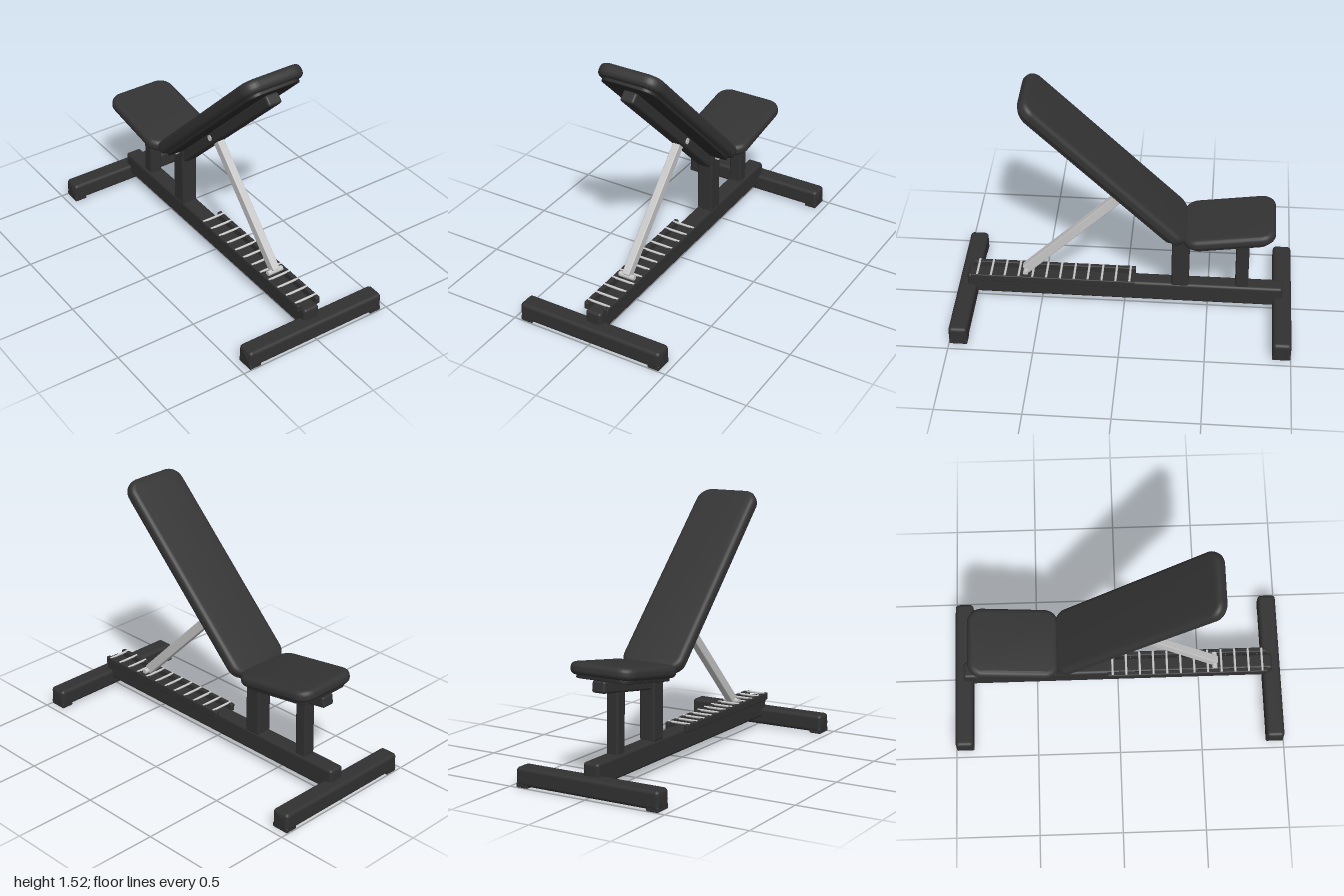
import * as THREE from 'three';
import { toCreasedNormals } from 'three/addons/utils/BufferGeometryUtils.js';
import { RoundedBoxGeometry } from 'three/addons/geometries/RoundedBoxGeometry.js';

export function createModel() {
  const material = (name, color) => {
    const m = new THREE.MeshStandardMaterial({ color });
    m.name = name;
    return m;
  };
  const frame = material('black frame', 0x313131);
  const vinyl = material('black vinyl', 0x333333);
  const board = material('backing board', 0x292929);
  const steel = material('bare steel', 0xc6c6c6);

  const bench = new THREE.Group();
  bench.name = 'adjustableBench';

  const add = (parent, name, geometry, mat, x, y, z) => {
    const mesh = new THREE.Mesh(geometry, mat);
    mesh.name = name;
    mesh.position.set(x, y, z);
    parent.add(mesh);
    return mesh;
  };
  // square tube with softened corners
  const tube = (parent, name, w, h, d, x, y, z, r = 0.014) =>
    add(parent, name, new RoundedBoxGeometry(w, h, d, 3, r), frame, x, y, z);
  // round bar lying across the bench
  const bar = (parent, name, r, length, mat, x, y, z) => {
    const mesh = add(parent, name, new THREE.CylinderGeometry(r, r, length, 16), mat, x, y, z);
    mesh.rotation.z = Math.PI / 2;
    return mesh;
  };
  // rounded slab in the xy plane, centred, with a rolled edge
  const slab = (w, h, thickness, corner, edge) => {
    const a = w / 2 - edge, b = h / 2 - edge, r = corner - edge;
    const s = new THREE.Shape();
    s.moveTo(-a + r, -b);
    s.lineTo(a - r, -b);
    s.absarc(a - r, -b + r, r, -Math.PI / 2, 0);
    s.lineTo(a, b - r);
    s.absarc(a - r, b - r, r, 0, Math.PI / 2);
    s.lineTo(-a + r, b);
    s.absarc(-a + r, b - r, r, Math.PI / 2, Math.PI);
    s.lineTo(-a, -b + r);
    s.absarc(-a + r, -b + r, r, Math.PI, Math.PI * 1.5);
    const g = new THREE.ExtrudeGeometry(s, {
      depth: thickness - 2 * edge, bevelThickness: edge, bevelSize: edge,
      bevelSegments: 5, curveSegments: 8,
    });
    g.translate(0, 0, edge - thickness / 2);
    return toCreasedNormals(g, 0.6);
  };

  // base: long beam and two cross feet with end plugs and floor pads
  tube(bench, 'mainBeam', 0.1, 0.13, 1.89, 0, 0.125, 0, 0.018);
  for (const end of [1, -1]) {
    const z = end * 0.945;
    tube(bench, 'crossFoot', 0.92, 0.107, 0.11, 0, 0.0625, z, 0.022);
    for (const side of [1, -1]) {
      bar(bench, 'endPlug', 0.036, 0.006, frame, side * 0.46, 0.06, z);
      tube(bench, 'floorPad', 0.075, 0.03, 0.106, side * 0.42, 0.015, z, 0.006);
    }
  }

  // adjustment ladder: side rails and steel rungs
  for (const side of [1, -1]) {
    tube(bench, 'ladderRail', 0.028, 0.045, 0.98, side * 0.064, 0.193, 0.425, 0.006);
  }
  for (let i = 0; i < 12; i++) {
    bar(bench, 'ladderRung', 0.007, 0.145, steel, 0, 0.214, 0.88 - i * 0.083);
  }

  // uprights
  tube(bench, 'mainPost', 0.1, 0.38, 0.104, 0, 0.37, -0.333);
  tube(bench, 'seatPost', 0.078, 0.42, 0.078, 0, 0.385, -0.697).rotation.x = 0.015;

  // hinge at the top of the main post
  bar(bench, 'hingeBolt', 0.02, 0.14, steel, 0, 0.552, -0.333);
  for (const side of [1, -1]) {
    tube(bench, 'hingePlate', 0.01, 0.09, 0.08, side * 0.047, 0.56, -0.32, 0.004);
  }

  // seat, rising towards the back
  const seat = new THREE.Group();
  seat.name = 'seat';
  seat.position.set(0, 0.555, -0.625);
  seat.rotation.x = 0.148;
  bench.add(seat);
  tube(seat, 'seatTube', 0.085, 0.068, 0.485, 0, 0, 0);
  add(seat, 'seatBoard', slab(0.36, 0.48, 0.02, 0.07, 0.004), board, 0, 0.042, 0)
    .rotation.x = -Math.PI / 2;
  add(seat, 'seatPad', slab(0.42, 0.535, 0.07, 0.085, 0.03), vinyl, 0, 0.085, 0)
    .rotation.x = -Math.PI / 2;

  // backrest, leaning at 45 degrees
  const back = new THREE.Group();
  back.name = 'backrest';
  back.rotation.x = Math.PI / 4;
  bench.add(back);
  tube(back, 'backTube', 0.088, 1.19, 0.066, 0, 0.75, -0.577);
  add(back, 'backBoard', slab(0.34, 1.23, 0.02, 0.07, 0.004), board, 0, 0.815, -0.618);
  add(back, 'backPad', slab(0.395, 1.3, 0.077, 0.085, 0.03), vinyl, 0, 0.815, -0.665);

  // support strut from the backrest down to the ladder
  const top = new THREE.Vector3(0, 0.825, 0);
  const foot = new THREE.Vector3(0, 0.225, 0.592);
  const strut = add(bench, 'supportStrut',
    new RoundedBoxGeometry(0.046, top.distanceTo(foot), 0.056, 2, 0.005), steel, 0, 0, 0);
  strut.position.addVectors(top, foot).multiplyScalar(0.5);
  strut.rotation.x = Math.atan2(foot.z - top.z, top.y - foot.y) * -1;
  bar(bench, 'strutBolt', 0.018, 0.1, steel, 0, 0.823, 0);
  bar(bench, 'strutFootPin', 0.016, 0.1, steel, 0, 0.222, 0.59);

  return bench;
}
